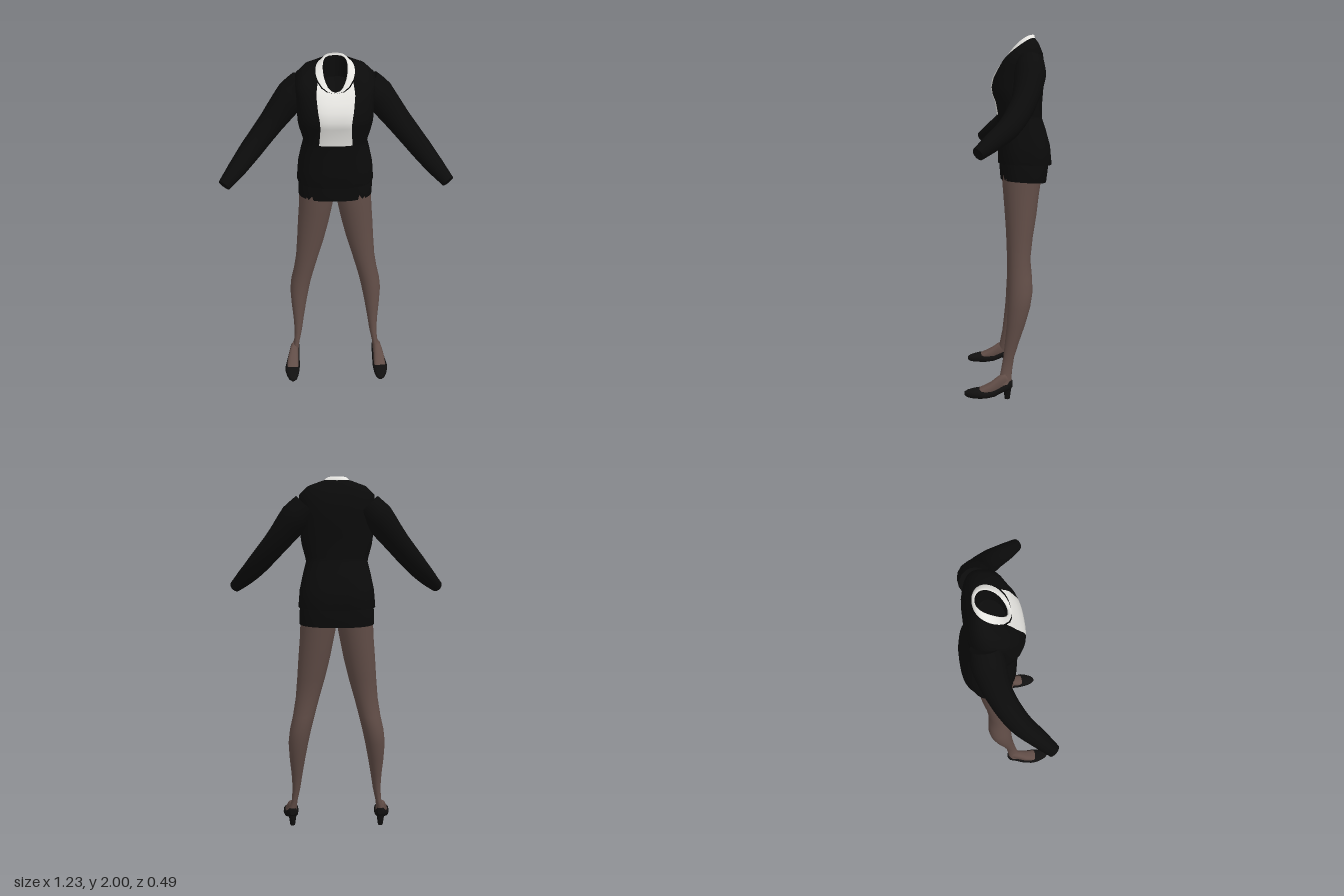
import * as THREE from 'three';

const mat = (name, color, side = THREE.FrontSide) => {
  const m = new THREE.MeshStandardMaterial({ color, side });
  m.name = name;
  return m;
};

// Skin a list of closed rings; pick(row, column) chooses a material slot
function loft(rings, { capStart = false, capEnd = false, pick = () => 0 } = {}) {
  const n = rings[0].length, pos = [], slots = [[], []];
  rings.forEach(r => r.forEach(p => pos.push(p.x, p.y, p.z)));
  for (let i = 0; i < rings.length - 1; i++) {
    for (let j = 0; j < n; j++) {
      const k = (j + 1) % n, a = i * n + j, b = i * n + k;
      slots[pick(i, j)].push(a, b, b + n, a, b + n, a + n);
    }
  }
  const cap = (row, flip) => {
    const c = rings[row].reduce((s, p) => s.add(p), new THREE.Vector3()).divideScalar(n);
    const start = pos.length / 3;
    rings[row].forEach(p => pos.push(p.x, p.y, p.z));
    pos.push(c.x, c.y, c.z);
    for (let j = 0; j < n; j++) {
      const a = start + j, b = start + (j + 1) % n;
      slots[0].push(...(flip ? [b, a, start + n] : [a, b, start + n]));
    }
  };
  if (capStart) cap(0, true);
  if (capEnd) cap(rings.length - 1, false);
  const g = new THREE.BufferGeometry();
  g.setAttribute('position', new THREE.Float32BufferAttribute(pos, 3));
  g.setIndex([...slots[0], ...slots[1]]);
  if (slots[1].length) {
    g.addGroup(0, slots[0].length, 0);
    g.addGroup(slots[0].length, slots[1].length, 1);
  }
  g.computeVertexNormals();
  return g;
}

// Copy a geometry to the other side of the body
function mirrored(geo) {
  const g = geo.clone().applyMatrix4(new THREE.Matrix4().makeScale(-1, 1, 1));
  const ix = g.index.array;
  for (let i = 0; i < ix.length; i += 3) [ix[i], ix[i + 1]] = [ix[i + 1], ix[i]];
  g.computeVertexNormals();
  return g;
}

const PANEL = 6, REST = 30;
const soft = (v, p) => Math.sign(v) * Math.abs(v) ** p;

// Body ring: heights at front, side and back, half width, front z, back z, half width of front panel
function bodyRing([yF, yS, yB, rx, zF, zB, w], p = 0.75) {
  const a0 = Math.asin(Math.min(0.97, w / rx) ** (1 / p)), ring = [];
  for (let j = 0; j < PANEL + REST; j++) {
    const a = j < PANEL ? -a0 + 2 * a0 * j / PANEL
      : a0 + (2 * Math.PI - 2 * a0) * (j - PANEL) / REST;
    const s = soft(Math.sin(a), p), c = soft(Math.cos(a), p);
    const y = (yF + yB) / 2 + (yF - yB) / 2 * c + (yS - (yF + yB) / 2) * s * s;
    ring.push(new THREE.Vector3(rx * s, y, (zF + zB) / 2 + (zF - zB) / 2 * c));
  }
  return ring;
}

// Horizontal leg ring from y, inner x, outer x, back z, front z
const legRing = ([y, x0, x1, z0, z1]) => Array.from({ length: 20 }, (_, j) => {
  const a = j / 20 * Math.PI * 2;
  return new THREE.Vector3((x0 + x1) / 2 + (x1 - x0) / 2 * Math.sin(a), y,
    (z0 + z1) / 2 + (z1 - z0) / 2 * Math.cos(a));
});

// Upright foot ring from z, bottom y, top y, centre x, half width
const footRing = ([z, y0, y1, x, w]) => Array.from({ length: 18 }, (_, j) => {
  const a = j / 18 * Math.PI * 2;
  return new THREE.Vector3(x + w * soft(Math.cos(a), 0.8),
    (y0 + y1) / 2 + (y1 - y0) / 2 * soft(Math.sin(a), 0.8), z);
});

// Sleeve rings square to a curve, with radius varying along it
function sleeveRings(points, radii, steps = 20) {
  const curve = new THREE.CatmullRomCurve3(points.map(p => new THREE.Vector3(...p)));
  const rings = [];
  for (let i = 0; i <= steps; i++) {
    const f = i / steps, t = curve.getTangent(f), c = curve.getPoint(f);
    const k = Math.min(radii.length - 2, Math.floor(f * (radii.length - 1)));
    const r = THREE.MathUtils.lerp(radii[k], radii[k + 1], f * (radii.length - 1) - k);
    const u = new THREE.Vector3(0, 1, 0).cross(t).normalize(), v = t.clone().cross(u);
    rings.push(Array.from({ length: 18 }, (_, j) => {
      const a = j / 18 * Math.PI * 2;
      return c.clone().addScaledVector(u, r * Math.cos(a)).addScaledVector(v, r * Math.sin(a));
    }));
  }
  return rings;
}

export function createModel() {
  const model = new THREE.Group();
  const black = mat('black cloth', 0x0b0b0b, THREE.DoubleSide);
  const white = mat('white shirt', 0xe6e5e1, THREE.DoubleSide);
  const tights = mat('brown tights', 0x614d47);
  const leather = mat('black leather', 0x111010);
  const add = (name, geo, material, parent = model) => {
    const m = new THREE.Mesh(geo, material);
    m.name = name;
    parent.add(m);
  };

  // Jacket with the shirt front set into it, from hem to neck base
  const jacket = [
    [1.315, 1.315, 1.31, 0.195, 0.04, -0.22, 0.09],
    [1.305, 1.305, 1.295, 0.212, 0.055, -0.245, 0.09],
    [1.40, 1.40, 1.40, 0.204, 0.057, -0.235, 0.09],
    [1.49, 1.49, 1.49, 0.185, 0.058, -0.21, 0.09],
    [1.55, 1.55, 1.55, 0.17, 0.06, -0.19, 0.09],
    [1.57, 1.57, 1.57, 0.173, 0.062, -0.188, 0.088],
    [1.64, 1.64, 1.64, 0.192, 0.072, -0.19, 0.082],
    [1.68, 1.68, 1.68, 0.198, 0.088, -0.193, 0.08],
    [1.72, 1.72, 1.72, 0.2, 0.095, -0.196, 0.082],
    [1.77, 1.78, 1.78, 0.2, 0.085, -0.2, 0.09],
    [1.81, 1.84, 1.84, 0.205, 0.062, -0.2, 0.095],
    [1.835, 1.90, 1.90, 0.205, 0.045, -0.19, 0.098],
    [1.848, 1.932, 1.945, 0.165, 0.035, -0.172, 0.096],
    [1.852, 1.94, 1.98, 0.1, 0.031, -0.15, 0.09],
  ];
  const shirtRow = 5;
  add('jacketAndShirtFront', loft(jacket.map(r => bodyRing(r)), {
    pick: (i, j) => (i >= shirtRow && j < PANEL ? 1 : 0),
  }), [black, white]);

  // Collar stands on the neck base; the lining closes the neck
  const rim = [1.856, 1.962, 2.0, 0.07, 0.024, -0.145, 0.055];
  const inner = [1.845, 1.955, 1.99, 0.063, 0.014, -0.136, 0.05];
  add('shirtCollar', loft([jacket[jacket.length - 1], rim, inner].map(r => bodyRing(r, 0.95))), white);
  add('neckLining', loft([
    inner, [1.80, 1.87, 1.88, 0.058, 0.005, -0.125, 0.045],
  ].map(r => bodyRing(r, 0.95)), { capEnd: true }), black);

  // Short skirt under the jacket
  add('skirt', loft([
    [1.215, 1.21, 1.197, 0.206, 0.042, -0.215, 0.09],
    [1.28, 1.28, 1.28, 0.206, 0.047, -0.225, 0.09],
    [1.36, 1.36, 1.36, 0.19, 0.045, -0.215, 0.09],
  ].map(r => bodyRing(r)), { capEnd: true }), black);

  // Limbs and shoes, shaped for the left side and mirrored to the right
  const sleeve = loft(sleeveRings([
    [0.165, 1.85, -0.115], [0.225, 1.785, -0.112], [0.335, 1.65, -0.078],
    [0.45, 1.525, 0.0], [0.525, 1.455, 0.085], [0.587, 1.402, 0.155],
  ], [0.075, 0.085, 0.068, 0.059, 0.048, 0.034]), { capStart: true, capEnd: true });

  const leg = loft([
    [0.09, 0.237, 0.29, -0.015, 0.06], [0.15, 0.23, 0.264, -0.018, 0.045],
    [0.23, 0.213, 0.258, -0.03, 0.03], [0.32, 0.199, 0.262, -0.058, 0.02],
    [0.42, 0.182, 0.271, -0.092, 0.01], [0.52, 0.163, 0.276, -0.12, 0.005],
    [0.60, 0.146, 0.267, -0.133, 0.001], [0.68, 0.126, 0.249, -0.131, 0.002],
    [0.78, 0.1, 0.233, -0.122, 0.004], [0.90, 0.066, 0.223, -0.136, 0.01],
    [1.02, 0.037, 0.215, -0.156, 0.018], [1.12, 0.017, 0.207, -0.168, 0.026],
    [1.20, 0.002, 0.203, -0.18, 0.032], [1.29, -0.01, 0.198, -0.19, 0.034],
  ].map(legRing), { capEnd: true });

  const foot = loft([
    [-0.012, 0.07, 0.115, 0.258, 0.016], [0.02, 0.06, 0.145, 0.26, 0.024],
    [0.055, 0.045, 0.135, 0.266, 0.028], [0.10, 0.03, 0.1, 0.272, 0.034],
    [0.15, 0.025, 0.074, 0.274, 0.036], [0.19, 0.025, 0.058, 0.274, 0.03],
  ].map(footRing), { capStart: true, capEnd: true });

  const shoe = loft([
    [-0.022, 0.07, 0.105, 0.258, 0.014], [-0.008, 0.055, 0.112, 0.259, 0.028],
    [0.03, 0.045, 0.088, 0.264, 0.033], [0.08, 0.022, 0.066, 0.271, 0.04],
    [0.13, 0.014, 0.062, 0.275, 0.045], [0.165, 0.013, 0.069, 0.276, 0.044],
    [0.20, 0.014, 0.063, 0.274, 0.037], [0.23, 0.018, 0.055, 0.272, 0.025],
    [0.247, 0.028, 0.046, 0.271, 0.01],
  ].map(footRing), { capStart: true, capEnd: true });

  const heel = new THREE.CylinderGeometry(0.025, 0.014, 0.075, 12);
  heel.translate(0.26, 0.0375, 0.008);

  for (const side of ['left', 'right']) {
    const half = new THREE.Group();
    half.name = side + 'Limbs';
    model.add(half);
    const put = (name, geo, m) => add(side + name, side === 'left' ? geo : mirrored(geo), m, half);
    put('Sleeve', sleeve, black);
    put('Leg', leg, tights);
    put('Foot', foot, tights);
    put('Shoe', shoe, leather);
    put('Heel', heel, leather);
  }
  return model;
}
